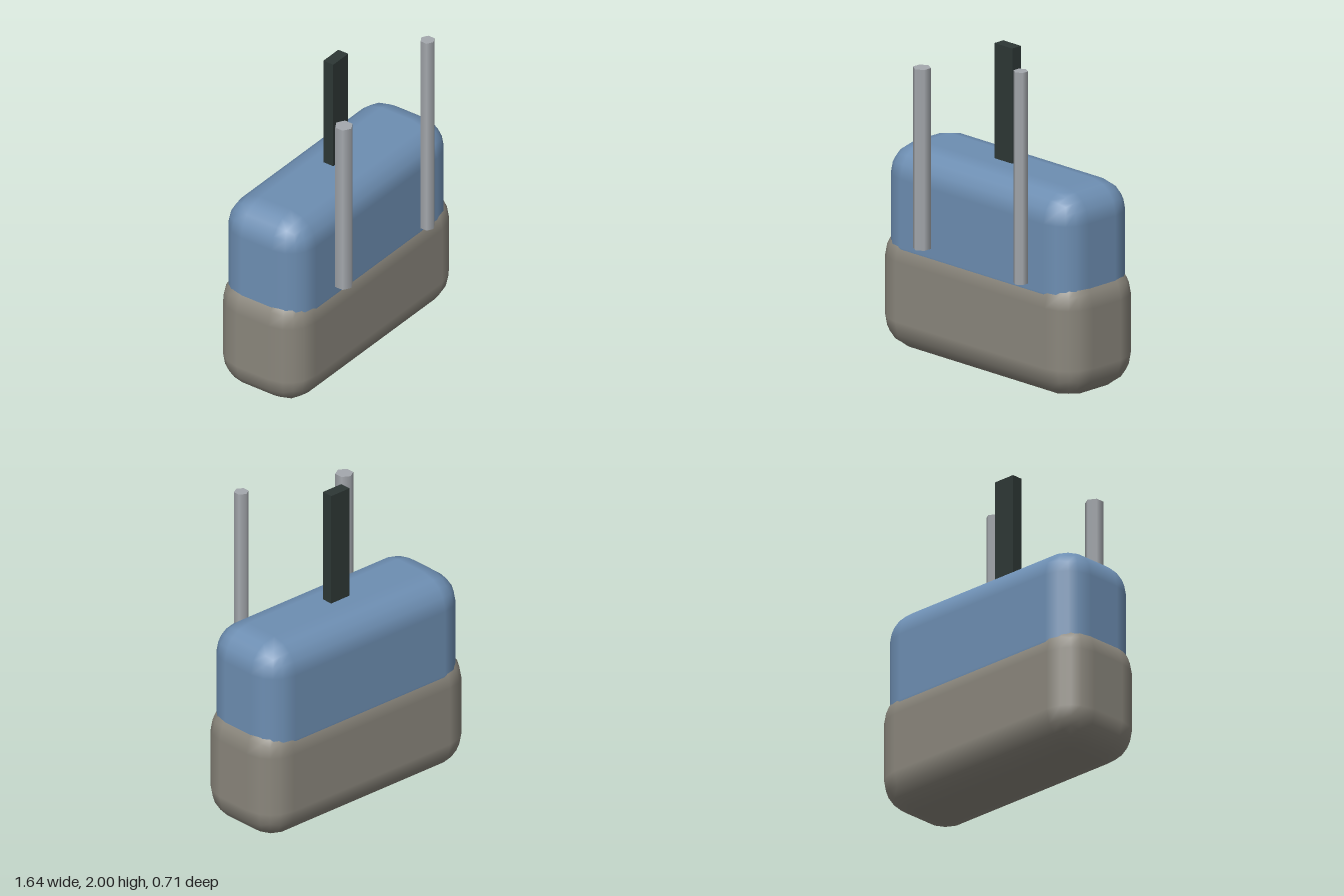
import * as THREE from 'three';
import { RoundedBoxGeometry } from 'three/addons/geometries/RoundedBoxGeometry.js';

const paint = (name, color) => {
  const m = new THREE.MeshStandardMaterial({ color });
  m.name = name;
  return m;
};

export function createModel() {
  const group = new THREE.Group();
  const stone = paint('warm grey', 0x8a867c);
  const blue = paint('dusty blue', 0x6d8eb2);
  const steel = paint('light grey', 0xa4a8ad);
  const dark = paint('charcoal', 0x2d3735);

  const add = (name, geometry, material, x, y, z) => {
    const mesh = new THREE.Mesh(geometry, material);
    mesh.name = name;
    mesh.position.set(x, y, z);
    group.add(mesh);
  };

  // Soft body: wide base with a slimmer upper block sunk into it
  add('base', new RoundedBoxGeometry(1.64, 0.77, 0.63, 2, 0.2), stone, 0, 0.385, -0.037);
  add('upperBody', new RoundedBoxGeometry(1.565, 0.8, 0.6, 2, 0.19), blue, 0, 0.87, -0.037);

  // Flat post rising from the middle of the top
  add('centrePost', new THREE.BoxGeometry(0.147, 0.83, 0.072), dark, -0.002, 1.565, -0.037);

  // Hexagonal rods standing against the front: [name, x, radius, bottom, top]
  for (const [name, x, r, y0, y1] of [
    ['rightRod', -0.376, 0.055, 0.715, 1.83],
    ['leftRod', 0.444, 0.044, 0.692, 2],
  ]) {
    add(name, new THREE.CylinderGeometry(r, r, y1 - y0, 6), steel, x, (y0 + y1) / 2, 0.3);
  }

  return group;
}
